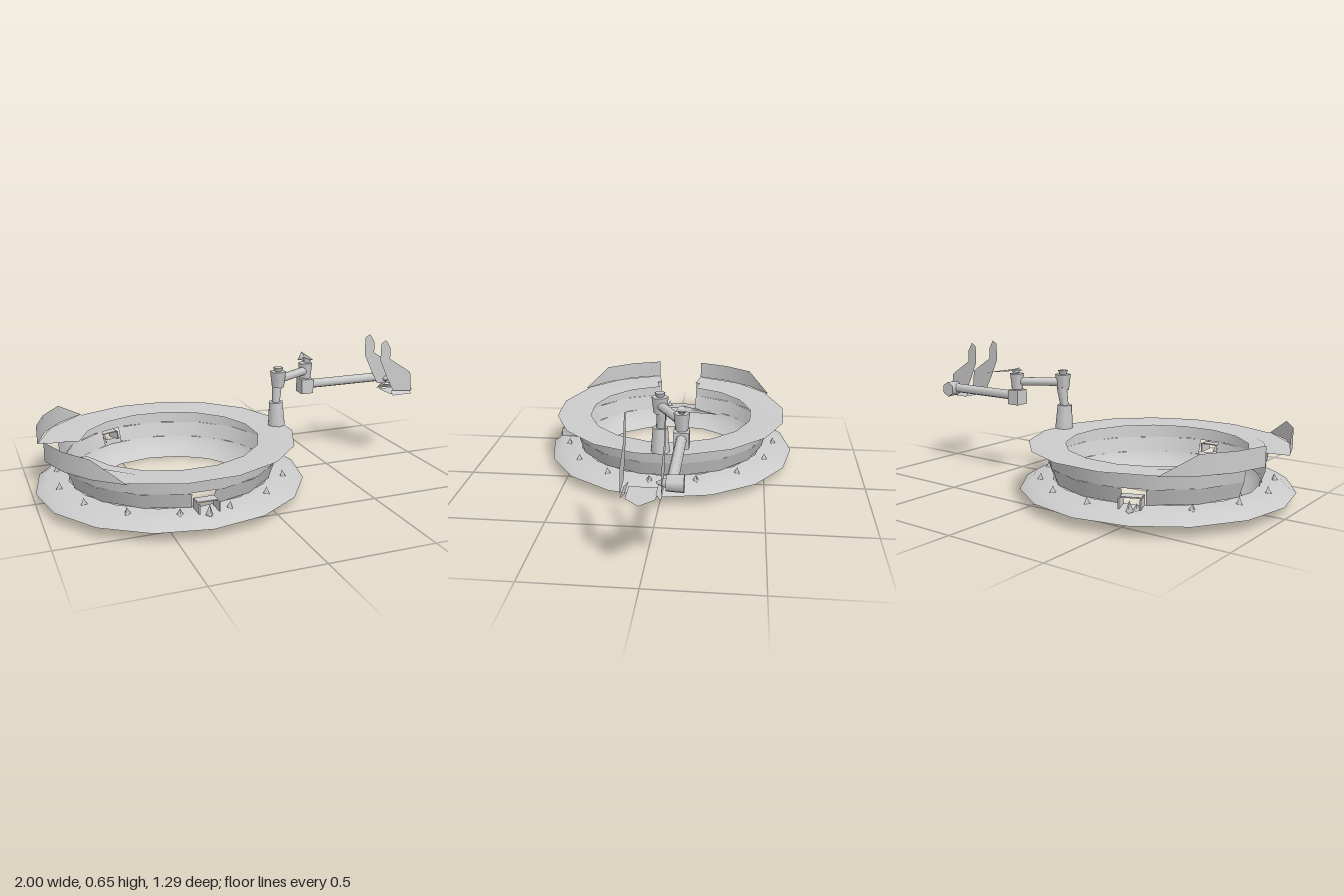
import * as THREE from 'three';

const mat = new THREE.MeshStandardMaterial({ color: 0xcccccc, side: THREE.DoubleSide });
const SIDES = 16, STEP = 2 * Math.PI / SIDES, LEFT_GAP = -Math.PI / 2;
const V = (x, y, z) => new THREE.Vector3(x, y, z);

function add(parent, name, geometry, pos = [0, 0, 0]) {
  const m = new THREE.Mesh(geometry, mat);
  m.name = name;
  m.position.set(...pos);
  parent.add(m);
  return m;
}

// Open sheet swept round the ring between two angles (0 = front, PI/2 = +x)
function band(parent, name, profile, a0 = 0, a1 = 2 * Math.PI) {
  const pts = profile.map(([r, y]) => new THREE.Vector2(r, y));
  const segs = Math.max(1, Math.round((a1 - a0) / STEP));
  return add(parent, name, new THREE.LatheGeometry(pts, segs, a0, a1 - a0));
}

// Tapered rod between two points
function rod(parent, name, a, b, r0, r1 = r0, sides = 8) {
  const d = b.clone().sub(a);
  const m = add(parent, name, new THREE.CylinderGeometry(r1, r0, d.length(), sides));
  m.position.copy(a).add(b).multiplyScalar(0.5);
  m.quaternion.setFromUnitVectors(V(0, 1, 0), d.normalize());
  return m;
}

function buildRing() {
  const ring = new THREE.Group();
  ring.name = 'ring';
  ring.position.x = -0.35;

  // Sloping base flange and the skirt below it
  band(ring, 'baseFlange', [[0.645, 0.05], [0.595, 0.082], [0.49, 0.092]]);
  band(ring, 'skirt', [[0.41, 0], [0.465, 0.04], [0.49, 0.092]]);

  // Wall: lower course has two windows, both courses stop at the gap on -x
  const win = [0, Math.PI + 0.38], hw = 0.1, gap = 0.2;
  const start = LEFT_GAP + gap, end = LEFT_GAP + 2 * Math.PI - gap;
  const low = [[0.49, 0.092], [0.515, 0.165]];
  band(ring, 'lowerWall', low, start, win[0] - hw);
  band(ring, 'lowerWall', low, win[0] + hw, win[1] - hw);
  band(ring, 'lowerWall', low, win[1] + hw, end);
  band(ring, 'upperWall', [[0.515, 0.165], [0.525, 0.245]], start, end);

  // Top flange, open at the gap
  band(ring, 'topFlange', [[0.43, 0.243], [0.52, 0.25], [0.605, 0.25]],
    LEFT_GAP + 0.25, LEFT_GAP + 2 * Math.PI - 0.25);

  // Raised guards either side of the gap, far ends sloping down
  for (const s of [-1, 1]) {
    const a = LEFT_GAP + s * 0.2, b = LEFT_GAP + s * 1.0;
    const pts = [new THREE.Vector2(0.62, 0.25), new THREE.Vector2(0.62, 0.34)];
    const g = new THREE.LatheGeometry(pts, 3, Math.min(a, b), 0.8);
    g.attributes.position.setY(s > 0 ? 7 : 1, 0.252);
    add(ring, 'raisedGuard', g);
    band(ring, 'guardFoot', [[0.5, 0.25], [0.62, 0.25]], Math.min(a, b), Math.max(a, b));
  }

  // Window hoods
  for (const a of win) {
    const hood = new THREE.Group();
    hood.name = 'windowHood';
    hood.rotation.y = a;
    for (const s of [-1, 1]) add(hood, 'hoodSide', new THREE.BoxGeometry(0.006, 0.045, 0.08), [s * 0.045, 0.122, 0.55]);
    add(hood, 'hoodTop', new THREE.BoxGeometry(0.09, 0.005, 0.05), [0, 0.144, 0.54]);
    add(hood, 'hoodSpike', new THREE.ConeGeometry(0.02, 0.05, 3), [0, 0.115, 0.59]);
    ring.add(hood);
  }

  // Small pointed studs round the base flange
  for (let i = 0; i < 15; i++) {
    const a = (i + 0.5) * 2 * Math.PI / 15;
    const m = add(ring, 'stud', new THREE.ConeGeometry(0.018, 0.032, 3),
      [0.545 * Math.sin(a), 0.1, 0.545 * Math.cos(a)]);
    m.rotation.y = a;
  }
  return ring;
}

function buildArm() {
  const arm = new THREE.Group();
  arm.name = 'arm';

  // Post and shoulder
  rod(arm, 'postBase', V(0.21, 0.25, 0), V(0.205, 0.37, 0), 0.045, 0.036);
  rod(arm, 'postNeck', V(0.205, 0.36, 0), V(0.215, 0.46, -0.01), 0.02, 0.026);
  rod(arm, 'shoulder', V(0.215, 0.445, 0), V(0.215, 0.525, 0), 0.03, 0.04, 6);
  rod(arm, 'shoulderCap', V(0.215, 0.525, 0), V(0.215, 0.545, 0), 0.018, 0.025, 6);

  // Upper link, elbow and forearm
  rod(arm, 'upperLink', V(0.22, 0.485, 0), V(0.42, 0.485, -0.115), 0.021);
  rod(arm, 'elbowTop', V(0.42, 0.445, -0.117), V(0.42, 0.525, -0.117), 0.028, 0.036, 6);
  rod(arm, 'elbowCap', V(0.42, 0.525, -0.117), V(0.43, 0.545, -0.117), 0.015, 0.022, 6);
  add(arm, 'elbowBlock', new THREE.BoxGeometry(0.065, 0.075, 0.07), [0.42, 0.405, -0.117]);
  rod(arm, 'forearm', V(0.44, 0.41, -0.117), V(0.86, 0.41, -0.117), 0.024);

  // Thin thorn on the elbow
  const thorn = new THREE.ConeGeometry(0.04, 0.19, 4);
  thorn.scale(1, 1, 0.12);
  const t = add(arm, 'thorn', thorn, [0.445, 0.543, -0.195]);
  t.rotation.set(-Math.PI / 2, 0, -0.33);

  // Wrist and pin into the claw
  rod(arm, 'wrist', V(0.88, 0.405, -0.165), V(0.88, 0.405, -0.095), 0.04, 0.036, 6);
  rod(arm, 'wristPin', V(0.88, 0.405, -0.1), V(0.88, 0.405, -0.055), 0.026, 0.004, 6);
  return arm;
}

function sheet(points) {
  return new THREE.ShapeGeometry(new THREE.Shape(points.map(p => new THREE.Vector2(...p))));
}

function buildClaw() {
  const claw = new THREE.Group();
  claw.name = 'claw';
  // Two upright blades
  const blade = [[0.747, 0.64], [0.775, 0.655], [0.803, 0.61], [0.803, 0.555], [0.89, 0.5], [0.928, 0.475],
    [0.94, 0.375], [0.83, 0.385], [0.79, 0.46], [0.747, 0.55]];
  for (const z of [-0.08, 0.08]) add(claw, 'blade', sheet(blade), [0, 0, z]);
  // Pointed floor plate, with bevels up to the blades
  const floor = sheet([[0.83, -0.06], [0.94, -0.06], [1.0, 0], [0.94, 0.06], [0.83, 0.06]]);
  floor.rotateX(Math.PI / 2);
  add(claw, 'floorPlate', floor, [0, 0.36, 0]);
  for (const s of [-1, 1]) {
    const g = new THREE.PlaneGeometry(0.11, 0.03);
    g.rotateX(-s * 0.75);
    add(claw, 'floorBevel', g, [0.885, 0.37, s * 0.07]);
  }
  return claw;
}

export function createModel() {
  const model = new THREE.Group();
  model.name = 'ringWithArm';
  model.add(buildRing(), buildArm(), buildClaw());
  return model;
}
